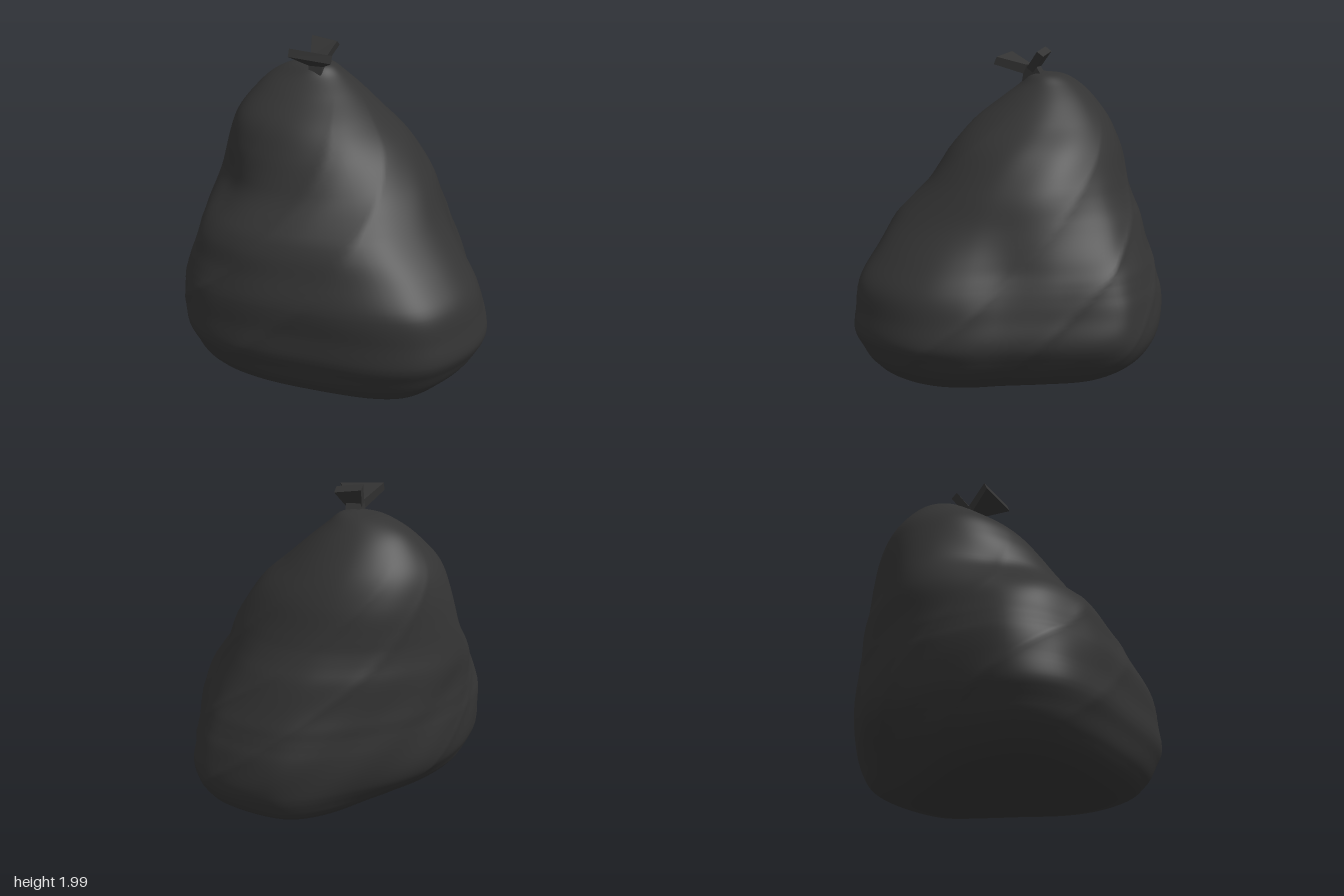
import * as THREE from 'three';

const V = (x, y, z) => new THREE.Vector3(x, y, z);
const material = new THREE.MeshStandardMaterial({ color: 0x333333 });

// Bag extents by height: y, xMin, xMax, zMin, zMax
const levels = [
  [0.01, -0.16, -0.12, -0.11, -0.07],
  [0.025, -0.42, 0.35, -0.38, 0.42],
  [0.05, -0.67, 0.66, -0.6, 0.72],
  [0.14, -0.8, 0.79, -0.79, 0.83],
  [0.25, -0.88, 0.88, -0.88, 0.88],
  [0.36, -0.925, 0.935, -0.915, 0.92],
  [0.5, -0.94, 0.91, -0.91, 0.915],
  [0.65, -0.935, 0.87, -0.875, 0.905],
  [0.8, -0.92, 0.765, -0.815, 0.86],
  [1.0, -0.915, 0.6, -0.74, 0.79],
  [1.2, -0.88, 0.48, -0.64, 0.6],
  [1.4, -0.83, 0.33, -0.57, 0.48],
  [1.55, -0.77, 0.16, -0.49, 0.37],
  [1.68, -0.67, 0.01, -0.385, 0.21],
  [1.77, -0.57, -0.1, -0.29, 0.09],
  [1.83, -0.44, -0.17, -0.2, 0.02],
  [1.85, -0.3, -0.24, -0.11, -0.05],
];

// Rounded three-lobed floor outline (x, z)
const outline = new THREE.CatmullRomCurve3([
  [0.93, 0.3], [0.88, 0.55], [0.75, 0.76], [0.55, 0.86], [0, 0.92], [-0.4, 0.91],
  [-0.7, 0.83], [-0.88, 0.65], [-0.94, 0.3], [-0.89, -0.1], [-0.75, -0.42], [-0.4, -0.75],
  [-0.15, -0.9], [0, -0.92], [0.25, -0.88], [0.42, -0.8], [0.6, -0.5], [0.75, -0.2], [0.88, 0.05],
].map(([x, z]) => V(x, 0, z)), true);

// Bulges and dents: angle, height, angular width, vertical width, amount
const lumps = [
  [2.0, 0.92, 0.4, 0.2, 0.04],
  [3.1, 1.15, 0.35, 0.3, 0.06],
  [2.4, 1.14, 0.35, 0.17, -0.08],
  [-0.2, 0.8, 0.45, 0.2, -0.06],
  [-0.95, 0.3, 0.45, 0.25, 0.03],
  [3.6, 0.08, 0.65, 0.2, -0.18],
];
const angleGap = (a, b) => Math.atan2(Math.sin(a - b), Math.cos(a - b));

// Soft diagonal folds in the film, fading at the top and floor
function folds(a, y) {
  const fade = THREE.MathUtils.smoothstep(y, 0.05, 0.3) * (1 - THREE.MathUtils.smoothstep(y, 1.3, 1.8));
  const sweep = Math.sin(y * 9 + a * 2 + Math.sin(a * 3));
  const pleat = Math.sin(a * 9 + y * 7 + 2 * Math.sin(y * 4 + a));
  const ridge = Math.pow(1 - Math.abs(Math.sin(y * 4 + a * 3 + Math.sin(a * 2 + y * 3))), 3);
  return fade * (0.005 * sweep + 0.004 * pleat + 0.01 * ridge);
}

function bagGeometry() {
  const rows = 120, cols = 160;
  const low = new THREE.CatmullRomCurve3(levels.map(l => V(l[1], l[0], l[3])), false, 'catmullrom', 0.5);
  const high = new THREE.CatmullRomCurve3(levels.map(l => V(l[2], l[0], l[4])), false, 'catmullrom', 0.5);
  const base = Array.from({ length: cols }, (_, j) => outline.getPoint(j / cols));
  const positions = [], indices = [];
  for (let i = 0; i <= rows; i++) {
    const lo = low.getPoint(i / rows), hi = high.getPoint(i / rows), y = lo.y;
    const round = 0.9 * THREE.MathUtils.smoothstep(y, 0.5, 1.35);
    const ring = base.map(p => {
      const a = Math.atan2(p.z, p.x);
      let r = THREE.MathUtils.lerp(p.length(), 1, round) + folds(a, y);
      for (const [la, ly, wa, wy, amount] of lumps)
        r += amount * Math.exp(-((angleGap(a, la) / wa) ** 2) - ((y - ly) / wy) ** 2);
      return V(r * Math.cos(a), y, r * Math.sin(a));
    });
    // Fit each ring to the extents at its height
    const box = new THREE.Box3().setFromPoints(ring);
    for (const p of ring)
      positions.push(
        THREE.MathUtils.mapLinear(p.x, box.min.x, box.max.x, lo.x, hi.x), y,
        THREE.MathUtils.mapLinear(p.z, box.min.z, box.max.z, lo.z, hi.z));
  }
  // Close the floor and the crown with one centre point each
  const bottom = (rows + 1) * cols, top = bottom + 1;
  positions.push(-0.14, 0.01, -0.09, -0.27, 1.85, -0.08);
  for (let j = 0; j < cols; j++) {
    const k = (j + 1) % cols;
    indices.push(bottom, j, k, top, rows * cols + k, rows * cols + j);
    for (let i = 0; i < rows; i++) {
      const a = i * cols + j, b = i * cols + k;
      indices.push(a, a + cols, b, b, a + cols, b + cols);
    }
  }
  const g = new THREE.BufferGeometry();
  g.setAttribute('position', new THREE.Float32BufferAttribute(positions, 3));
  g.setIndex(indices);
  g.computeVertexNormals();
  return g;
}

// Tapered slab from one point to another, with [width, thickness] at each end
function taperedSlab(name, from, to, startSize, endSize, tilt = 0) {
  const g = new THREE.BoxGeometry(1, 1, 1), pos = g.attributes.position;
  const along = to.clone().sub(from).normalize();
  const across = V(1, 0, 0), thick = across.clone().cross(along).normalize();
  for (let i = 0; i < pos.count; i++) {
    const t = pos.getY(i) + 0.5, u = pos.getX(i), w = pos.getZ(i);
    const p = from.clone().lerp(to, t)
      .addScaledVector(across, u * THREE.MathUtils.lerp(startSize[0], endSize[0], t))
      .addScaledVector(thick, w * THREE.MathUtils.lerp(startSize[1], endSize[1], t));
    p.y += tilt * u * t;
    pos.setXYZ(i, p.x, p.y, p.z);
  }
  g.computeVertexNormals();
  const mesh = new THREE.Mesh(g, material);
  mesh.name = name;
  return mesh;
}

export function createModel() {
  const model = new THREE.Group();
  model.name = 'tiedSack';

  const bag = new THREE.Mesh(bagGeometry(), material);
  bag.name = 'bag';
  model.add(bag);

  // Tied neck with two flared ends
  const knot = new THREE.Group();
  knot.name = 'knot';
  knot.add(
    taperedSlab('neck', V(-0.245, 1.8, -0.025), V(-0.24, 1.89, -0.01), [0.085, 0.14], [0.09, 0.07]),
    taperedSlab('frontFlap', V(-0.24, 1.865, 0.02), V(-0.215, 1.933, 0.175), [0.09, 0.06], [0.275, 0.05], -0.02),
    taperedSlab('backFlap', V(-0.24, 1.86, -0.01), V(-0.227, 1.975, -0.095), [0.09, 0.05], [0.165, 0.05], -0.025));
  model.add(knot);
  return model;
}
